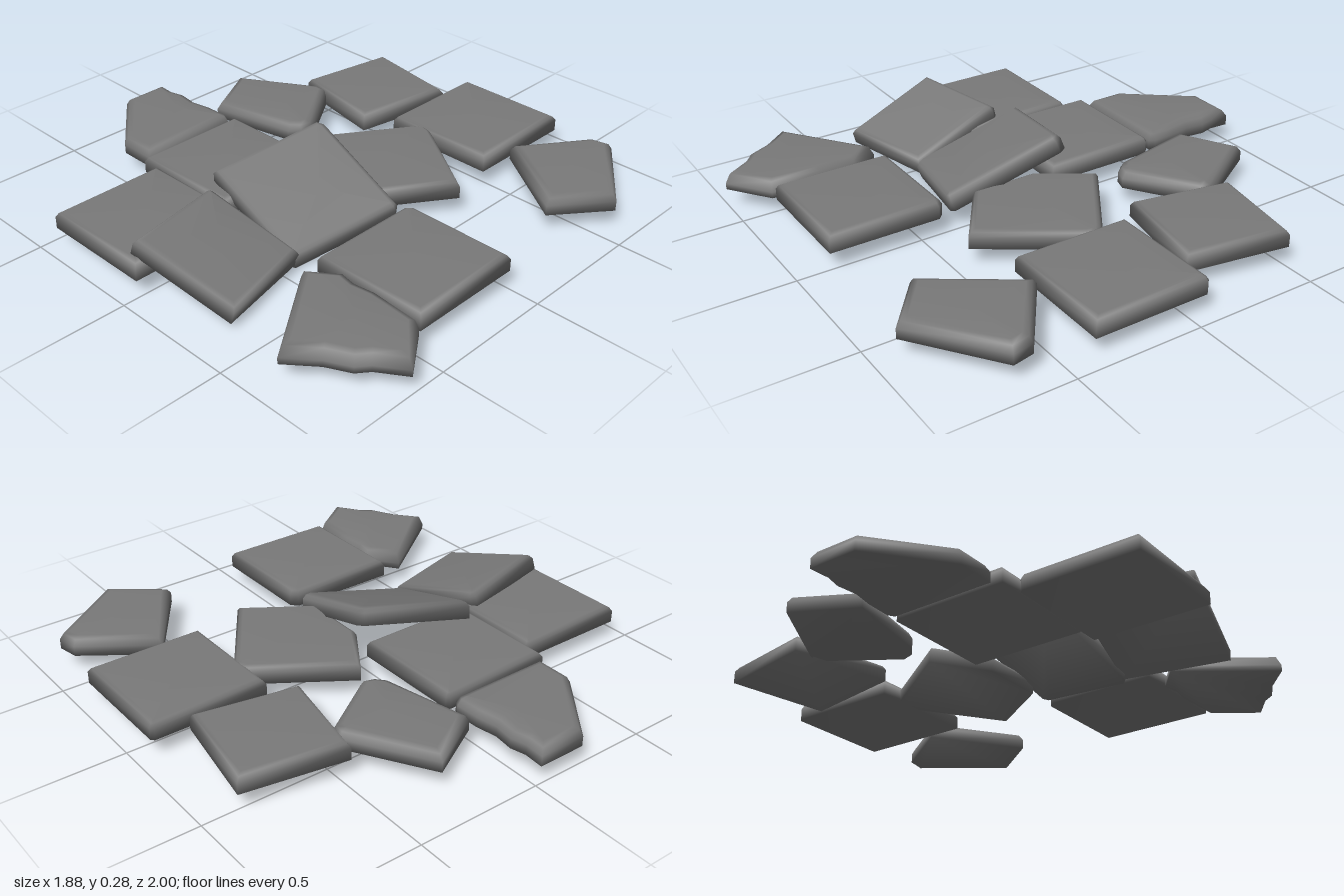
import * as THREE from 'three';

const material = new THREE.MeshStandardMaterial({ color: 0x7a7a7a });
const BASE = 0.075, THICK = 0.072;

// Move an outline (clockwise seen from above) inwards with mitred corners.
function inset(points, amount) {
  const n = points.length;
  const normal = (a, b) => {
    const dx = b[0] - a[0], dz = b[1] - a[1], l = Math.hypot(dx, dz);
    return [-dz / l, dx / l];
  };
  return points.map((p, i) => {
    const m = normal(points[(i + n - 1) % n], p), k = normal(p, points[(i + 1) % n]);
    const s = amount / (1 + m[0] * k[0] + m[1] * k[1]);
    return [p[0] + (m[0] + k[0]) * s, p[1] + (m[1] + k[1]) * s];
  });
}

// A stone slab: stacked rings with a soft top edge, smooth normals, optional tilt.
function slab(name, outline, { bevel = 0.025, low = 0.048, tilt = null } = {}) {
  const n = outline.length, pos = [], index = [];
  const [y0, a, b] = tilt || [BASE, 0, 0]; // underside: y = y0 + a*x + b*z
  const up = new THREE.Vector3(-a, 1, -b).normalize();
  // [inset, height above the underside]
  const rings = [[0, 0], [0, low], [bevel * 0.4, THICK - 0.008], [bevel, THICK]];
  const add = (x, z, h) => pos.push(x + up.x * h, y0 + a * x + b * z + up.y * h, z + up.z * h);
  for (const [amount, h] of rings) inset(outline, amount).forEach(([x, z]) => add(x, z, h));

  const cx = outline.reduce((s, p) => s + p[0], 0) / n;
  const cz = outline.reduce((s, p) => s + p[1], 0) / n;
  const top = n * rings.length, last = top - n;
  add(cx, cz, THICK);
  for (let i = 0; i < n; i++) {
    const j = (i + 1) % n;
    for (let r = 0; r < rings.length - 1; r++) {
      const p = r * n + i, q = r * n + j;
      index.push(p, p + n, q, q, p + n, q + n);
    }
    index.push(top, last + j, last + i);
    if (i > 0 && j > 0) index.push(0, i, j); // underside fans out from one corner
  }
  const geometry = new THREE.BufferGeometry();
  geometry.setAttribute('position', new THREE.Float32BufferAttribute(pos, 3));
  geometry.setIndex(index);
  geometry.computeVertexNormals();
  // Underside corners share their shading evenly with the sides
  inset(outline, 1).forEach(([x, z], i) => {
    const out = new THREE.Vector3(outline[i][0] - x, 0, outline[i][1] - z).sub(up).normalize();
    geometry.attributes.normal.setXYZ(i, out.x, out.y, out.z);
  });
  const mesh = new THREE.Mesh(geometry, material);
  mesh.name = name;
  return mesh;
}

// Straight square outline with a small chip at the back left corner.
const square = (x0, z0, x1, z1, chip = 0.012) =>
  [[x0, z0], [x1 - chip, z0], [x1, z0 + chip], [x1, z1], [x0, z1]];

export function createModel() {
  const group = new THREE.Group();
  group.name = 'stonePaving';
  group.add(
    // Whole slabs lying flat and square
    slab('backCentreSlab', square(-0.465, -0.555, 0.005, -0.085)),
    slab('backRightSlab', square(-0.94, -0.47, -0.47, 0)),
    slab('leftSlab', square(0.465, -0.085, 0.94, 0.388)),
    slab('frontCentreSlab', square(-0.465, 0.4, 0.007, 0.87, 0.025)),

    // Slabs turned in place
    slab('backLeftSlab', [[0.46, -0.585], [0.868, -0.515], [0.797, -0.1], [0.38, -0.175]]),
    slab('centreSlab', [[0.13, -0.21], [0.475, 0.02], [0.497, 0.06], [0.487, 0.1],
      [0.25, 0.445], [-0.01, 0.27], [-0.01, 0]]),

    // Tilted slabs resting on their neighbours
    slab('raisedSlab', [[-0.405, -0.21], [0.04, -0.115], [0.055, -0.085], [-0.003, 0.35],
      [-0.025, 0.36], [-0.435, 0.26], [-0.45, 0.23]], { tilt: [0.188, 0.24, -0.305] }),
    slab('tiltedRightSlab', [[-0.915, -0.055], [-0.51, -0.145], [-0.495, -0.13], [-0.435, 0.26],
      [-0.83, 0.36]], { tilt: [0.054, -0.09, -0.28] }),

    // Broken pieces with wider worn edges
    slab('backBrokenPiece', [[-0.43, -0.73], [-0.215, -1], [-0.02, -1], [-0.025, -0.92], [-0.01, -0.86],
      [-0.02, -0.78], [-0.005, -0.7], [0, -0.6], [-0.015, -0.575], [-0.43, -0.575]], { bevel: 0.035, low: 0.04 }),
    slab('backLeftBrokenPiece', [[0.03, -0.695], [0.265, -0.825], [0.455, -0.51], [0.45, -0.46],
      [0.19, -0.285], [0.14, -0.3], [0.105, -0.34]], { bevel: 0.035, low: 0.04 }),
    slab('frontRightBrokenPiece', [[-0.555, 0.41], [-0.465, 0.53], [-0.478, 0.6], [-0.467, 0.68], [-0.483, 0.88],
      [-0.65, 1], [-0.72, 0.895], [-0.765, 0.86], [-0.81, 0.77], [-0.9, 0.66]], { bevel: 0.035, low: 0.025 }),
    slab('frontLeftBrokenPiece', [[0.62, 0.4], [0.895, 0.595], [0.912, 0.68], [0.59, 0.915],
      [0.38, 0.75]], { bevel: 0.035, low: 0.04 }),
  );
  return group;
}
